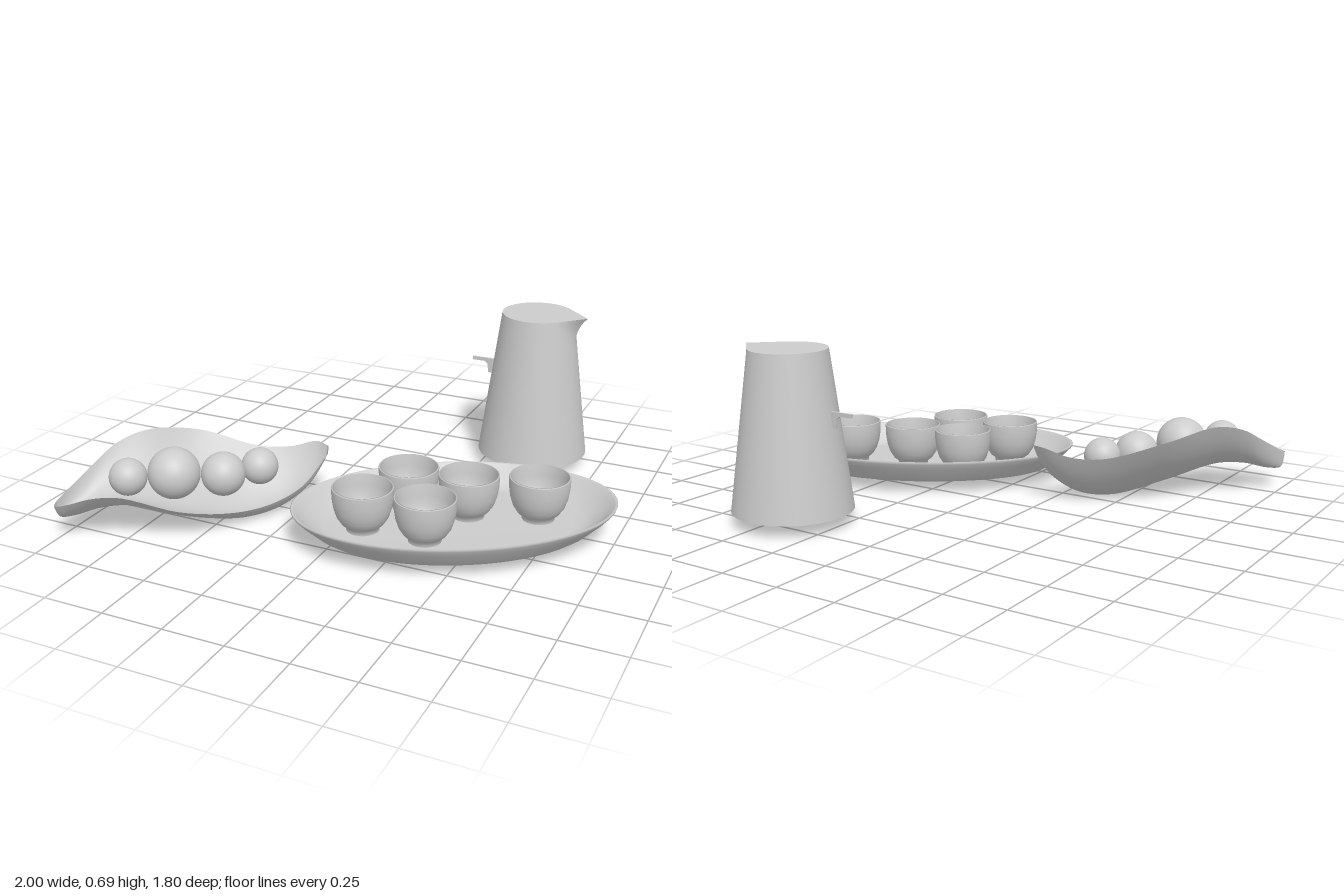
import * as THREE from 'three';
import { toCreasedNormals } from 'three/addons/utils/BufferGeometryUtils.js';
import { ParametricGeometry } from 'three/addons/geometries/ParametricGeometry.js';

const grey = new THREE.MeshStandardMaterial({ color: 0xcccccc, side: THREE.DoubleSide });
const V = (a) => new THREE.Vector3(...a);

function part(name, geometry, x = 0, y = 0, z = 0) {
  const mesh = new THREE.Mesh(geometry, grey);
  mesh.name = name;
  mesh.position.set(x, y, z);
  return mesh;
}

function lathe(points, segments) {
  const profile = points.map(([r, y]) => new THREE.Vector2(r, y));
  return new THREE.LatheGeometry(profile, segments);
}

// Tapered closed jug whose upper wall is drawn out to a pointed spout on +x
function jugGeometry() {
  const height = 0.635;
  const g = new THREE.CylinderGeometry(0.155, 0.24, height, 64, 32);
  g.translate(0, height / 2 + 0.02, 0);
  const p = g.attributes.position;
  for (let i = 0; i < p.count; i++) {
    const angle = Math.abs(Math.atan2(p.getZ(i), p.getX(i)));
    const spread = 0.785 * THREE.MathUtils.clamp((p.getY(i) - 0.52) / 0.135, 0, 1);
    if (angle < spread) {
      const k = 1 / Math.cos(spread - angle); // tangent from the round wall to the tip
      p.setX(i, p.getX(i) * k);
      p.setZ(i, p.getZ(i) * k);
    }
  }
  return toCreasedNormals(g, 0.6);
}

// Small hooked plate on the jug's side
function handleGeometry() {
  const outline = [[0.16, 0.41], [0.215, 0.41], [0.23, 0.4], [0.235, 0.36],
    [0.275, 0.36], [0.275, 0.425], [0.16, 0.425]];
  const shape = new THREE.Shape(outline.map(([x, y]) => new THREE.Vector2(x, y)));
  return new THREE.ExtrudeGeometry(shape, { depth: 0.01, bevelEnabled: false });
}

// Leaf-shaped bowl: two wavy edges joined by sagging cross-sections
const backEdge = new THREE.CatmullRomCurve3([
  [-1, 0.125, 0.85], [-0.99, 0.15, 0.79], [-0.96, 0.21, 0.67], [-0.92, 0.27, 0.55],
  [-0.85, 0.295, 0.43], [-0.72, 0.25, 0.25], [-0.5, 0.175, 0.145], [-0.37, 0.175, 0.09],
  [-0.27, 0.205, 0.062], [-0.2, 0.205, 0.085]].map(V));
const frontEdge = new THREE.CatmullRomCurve3([
  [-1, 0.125, 0.85], [-0.985, 0.12, 0.885], [-0.92, 0.14, 0.89], [-0.82, 0.175, 0.865],
  [-0.72, 0.18, 0.82], [-0.53, 0.105, 0.7], [-0.4, 0.045, 0.51], [-0.31, 0.04, 0.36],
  [-0.24, 0.08, 0.24], [-0.19, 0.18, 0.11]].map(V));

function leafSkin(extraSag) {
  return new ParametricGeometry((u, v, target) => {
    target.copy(backEdge.getPoint(u)).lerp(frontEdge.getPoint(u), v);
    const along = Math.pow(Math.max(Math.sin(Math.PI * u), 0), 0.6);
    target.y -= (0.12 + extraSag) * along * 4 * v * (1 - v);
  }, 60, 24);
}

export function createModel() {
  const model = new THREE.Group();

  // Oval serving tray
  const tray = part('tray', lathe([
    [0, 0.02], [0.83, 0.02], [0.83, 0.02], [0.87, 0.035], [0.96, 0.085], [0.995, 0.108],
    [1, 0.117], [0.992, 0.12], [0.98, 0.116], [0.95, 0.098], [0.87, 0.052], [0.8, 0.034],
    [0.74, 0.03], [0, 0.03]], 96), 0.41, 0, 0.2);
  tray.scale.set(0.642, 1, 0.39);
  tray.rotation.y = Math.PI / 6;
  model.add(tray);

  // Five footed cups
  const cupGeometry = lathe([
    [0, 0.03], [0.065, 0.03], [0.065, 0.03], [0.065, 0.046], [0.085, 0.062], [0.103, 0.09],
    [0.114, 0.125], [0.12, 0.165], [0.121, 0.208], [0.119, 0.211], [0.113, 0.211],
    [0.111, 0.165], [0.104, 0.122], [0.09, 0.088], [0.06, 0.063], [0, 0.055]], 48);
  for (const [x, z] of [[0.19, 0.145], [0.435, 0.115], [0.695, 0.02], [0.105, 0.395], [0.36, 0.38]]) {
    model.add(part('cup', cupGeometry, x, 0, z));
  }

  // Jug with handle
  const jug = new THREE.Group();
  jug.name = 'jug';
  const handle = part('jugHandle', handleGeometry(), 0, 0, -0.645);
  jug.add(part('jugBody', jugGeometry(), 0.445, 0, -0.665), handle);
  model.add(jug);

  // Leaf bowl, inner and outer skins
  const bowl = new THREE.Group();
  bowl.name = 'leafBowl';
  bowl.add(part('bowlInside', leafSkin(0)), part('bowlOutside', leafSkin(0.025)));
  model.add(bowl);

  // Row of round fruit
  for (const [x, y, z, r] of [[-0.785, 0.195, 0.67, 0.075], [-0.655, 0.185, 0.545, 0.105],
    [-0.515, 0.15, 0.405, 0.09], [-0.42, 0.15, 0.275, 0.076]]) {
    model.add(part('fruit', new THREE.SphereGeometry(r, 40, 24), x, y, z));
  }
  return model;
}
